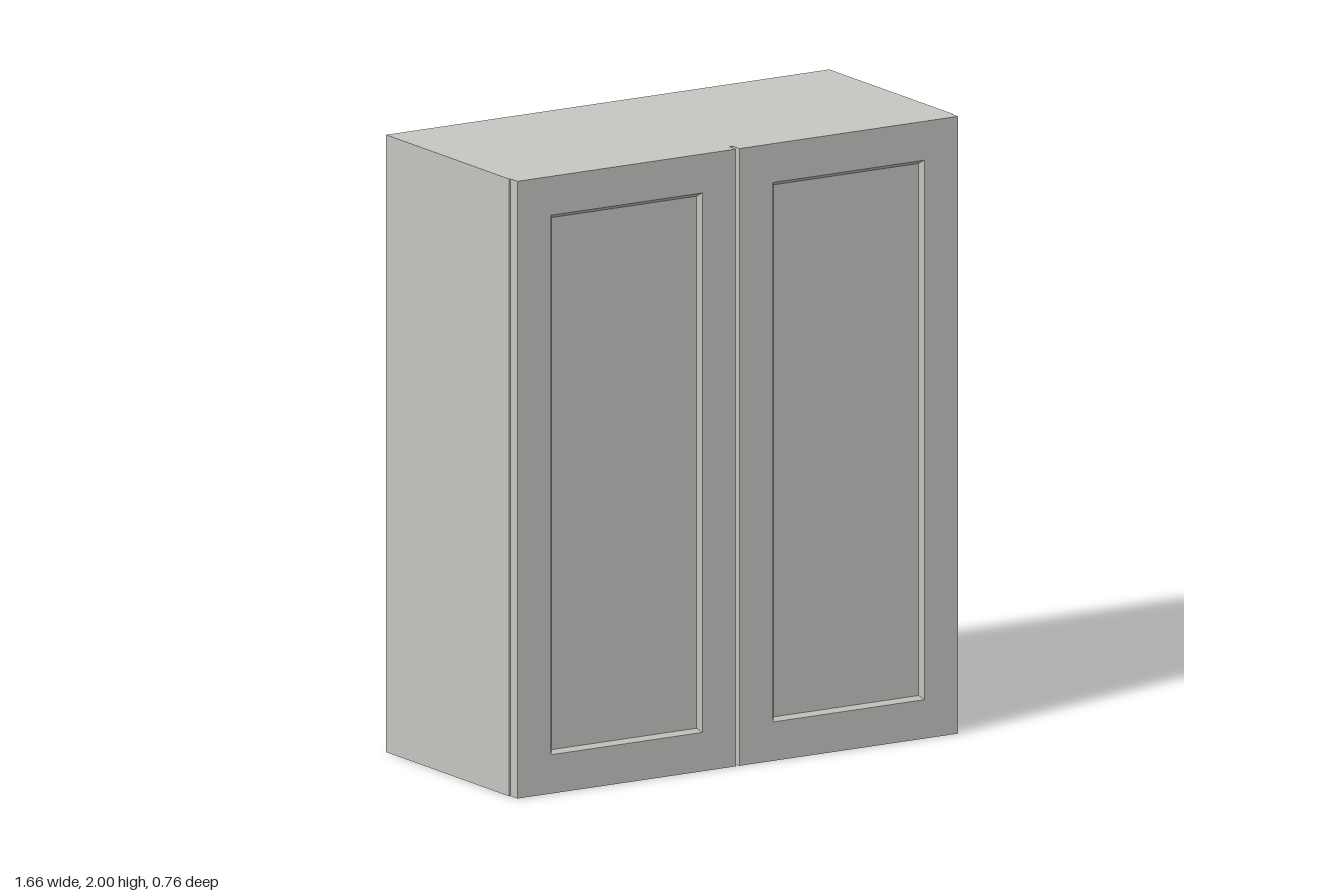
import * as THREE from 'three';

const W = 1.66, H = 2, D = 0.76; // overall size
const T = 0.04;                  // board thickness
const BACK = -D / 2, FACE = D / 2 - T; // carcass rear and front planes

// Door slab with a sloped, recessed centre panel, made from rectangular loops
function doorGeometry(w, h, t) {
  const rail = 0.126, bevel = 0.012, depth = 0.015;
  const loops = [[0, 0], [0, t], [rail, t], [rail + bevel, t - depth]].map(([inset, z]) => {
    const x = w / 2 - inset, y = h / 2 - inset;
    return [[-x, -y, z], [x, -y, z], [x, y, z], [-x, y, z]];
  });
  const pos = [];
  const quad = (a, b, c, d) => pos.push(...a, ...b, ...c, ...a, ...c, ...d);
  for (let i = 0; i < loops.length - 1; i++) {
    for (let k = 0; k < 4; k++) {
      const n = (k + 1) % 4;
      quad(loops[i][k], loops[i][n], loops[i + 1][n], loops[i + 1][k]);
    }
  }
  quad(...loops[loops.length - 1]);     // recessed panel
  quad(...[...loops[0]].reverse());     // flat rear of the door
  const geo = new THREE.BufferGeometry();
  geo.setAttribute('position', new THREE.Float32BufferAttribute(pos, 3));
  geo.computeVertexNormals();
  return geo;
}

export function createModel() {
  const cabinet = new THREE.Group();
  cabinet.name = 'wallCabinet';
  const paint = new THREE.MeshStandardMaterial({ color: 0xc8c6c3 });
  paint.name = 'warmGrey';

  // Board given by its low and high corners
  const board = (name, x0, x1, y0, y1, z0, z1) => {
    const mesh = new THREE.Mesh(new THREE.BoxGeometry(x1 - x0, y1 - y0, z1 - z0), paint);
    mesh.position.set((x0 + x1) / 2, (y0 + y1) / 2, (z0 + z1) / 2);
    mesh.name = name;
    cabinet.add(mesh);
  };
  const X = W / 2, inner = X - T;

  // Carcass
  board('bottomPanel', -X, X, 0, T, BACK, FACE);
  board('topPanel', -X, X, H - T, H, BACK, FACE);
  board('leftSide', inner, X, T, H - T, BACK, FACE);
  board('rightSide', -X, -inner, T, H - T, BACK, FACE);

  // Recessed back with hanging rails above and below
  board('backPanel', -inner, inner, T, H - T, BACK + T, BACK + T + 0.015);
  board('lowerBackRail', -inner, inner, T, 0.19, BACK, BACK + T);
  board('upperBackRail', -inner, inner, H - 0.185, H - T, BACK, BACK + T);

  // Shelves
  for (const y of [0.6, 1.28]) board('shelf', -inner, inner, y, y + T, BACK + T + 0.015, FACE);

  // Pair of doors with a narrow gap between them
  const gap = 0.006, doorW = X - 0.005 - gap;
  const doorGeo = doorGeometry(doorW, H, T);
  for (const s of [1, -1]) {
    const door = new THREE.Mesh(doorGeo, paint);
    door.name = s > 0 ? 'leftDoor' : 'rightDoor';
    door.position.set(s * (gap + doorW / 2), H / 2, FACE);
    cabinet.add(door);
  }
  return cabinet;
}
